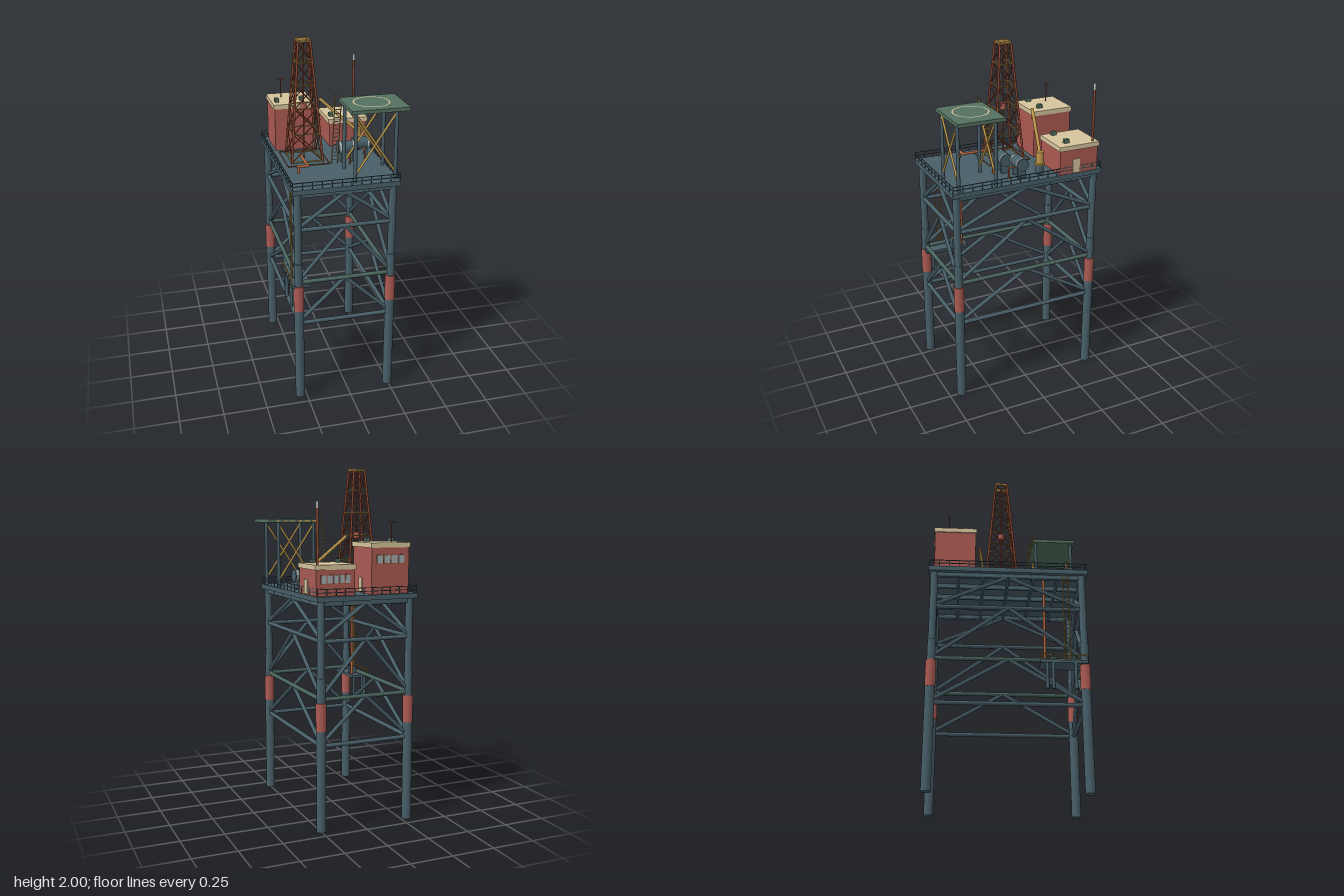
import * as THREE from 'three';

const mat = (name, color) => new THREE.MeshStandardMaterial({ name, color });

export function createModel() {
  const slate = mat('slate steel', 0x485f68), red = mat('faded red', 0xab5a52), tan = mat('tan', 0xd6c59d);
  const green = mat('deck green', 0x547160), rust = mat('rust orange', 0xb8653d), ochre = mat('ochre', 0xc09a4c);
  const brown = mat('derrick brown', 0x954d35), glass = mat('window grey', 0xa0abae), pale = mat('pale grey', 0xbcc2c3);
  const weathered = mat('weathered steel', 0x4a645d);
  const root = new THREE.Group();
  const V = (x, y, z) => new THREE.Vector3(x, y, z);
  const group = (name, parent = root) => {
    const g = new THREE.Group();
    g.name = name;
    parent.add(g);
    return g;
  };
  const add = (name, geo, m, x, y, z, parent = root) => {
    const o = new THREE.Mesh(geo, m);
    o.name = name;
    o.position.set(x, y, z);
    parent.add(o);
    return o;
  };
  const box = (name, m, x, y, z, w, h, d, p) => add(name, new THREE.BoxGeometry(w, h, d), m, x, y, z, p);
  // upright cylinder between two heights
  const post = (name, m, x, z, y0, y1, r, p, n = 16) =>
    add(name, new THREE.CylinderGeometry(r, r, y1 - y0, n), m, x, (y0 + y1) / 2, z, p);
  // round bar between two points
  const bar = (name, m, a, b, r, p, n = 8) => {
    const c = a.clone().add(b).multiplyScalar(0.5);
    const o = add(name, new THREE.CylinderGeometry(r, r, a.distanceTo(b), n), m, c.x, c.y, c.z, p);
    o.quaternion.setFromUnitVectors(V(0, 1, 0), b.clone().sub(a).normalize());
    return o;
  };
  const pipe = (name, m, pts, r, p) => {
    pts.slice(1).forEach((b, i) => bar(name, m, pts[i], b, r, p, 12));
    pts.slice(1, -1).forEach(c => add(name + 'Elbow', new THREE.SphereGeometry(r * 1.15, 12, 8), m, c.x, c.y, c.z, p));
  };

  // legs with red sleeves
  const CX = -0.02, LX = 0.267, LZ = 0.425;
  const corners = [[-1, -1], [1, -1], [1, 1], [-1, 1]].map(([i, j]) => [CX + i * LX, j * LZ]);
  const legs = group('legs');
  for (const [x, z] of corners) {
    post('lowerLeg', slate, x, z, 0, 0.58, 0.027, legs, 20);
    post('legSleeve', red, x, z, 0.575, 0.73, 0.029, legs, 20);
    post('middleLeg', slate, x, z, 0.73, 0.855, 0.0235, legs, 20);
    post('legCollar', slate, x, z, 0.855, 0.867, 0.025, legs, 20);
    post('upperLeg', slate, x, z, 0.867, 1.29, 0.021, legs, 20);
  }

  // jacket bracing: girts and inverted V diagonals on every side
  const bracing = group('bracing');
  const levels = [0.488, 0.748, 1.066, 1.265];
  corners.forEach(([x0, z0], k) => {
    const [x1, z1] = corners[(k + 1) % 4];
    levels.forEach((y, i) => {
      bar('girt', i === 1 ? weathered : slate, V(x0, y, z0), V(x1, y, z1), 0.012, bracing, 12);
      if (i === 3) return;
      const top = V((x0 + x1) / 2, levels[i + 1], (z0 + z1) / 2);
      bar('diagonal', slate, V(x0, y + 0.01, z0), top, 0.011, bracing, 12);
      bar('diagonal', slate, V(x1, y + 0.01, z1), top, 0.011, bracing, 12);
    });
  });

  // main deck and the beams under it
  const deck = group('deck');
  box('deckPlate', slate, CX, 1.296, 0, 0.602, 0.028, 0.917, deck);
  for (let i = 0; i < 5; i++) box('longBeam', slate, CX - 0.27 + i * 0.135, 1.27, 0, 0.014, 0.03, 0.88, deck);
  for (let i = 0; i < 7; i++) box('crossBeam', slate, CX, 1.27, -0.43 + i * 0.1433, 0.56, 0.026, 0.014, deck);

  // railing round the deck edge
  const rails = group('railing');
  const RX = 0.297, RZ = 0.454;
  for (const s of [-1, 1]) {
    for (const y of [1.331, 1.35]) {
      box('sideRail', slate, CX + s * RX, y, 0, 0.004, 0.004, 2 * RZ, rails);
      box('endRail', slate, CX, y, s * RZ, 2 * RX, 0.004, 0.004, rails);
    }
    for (let i = 0; i <= 16; i++) box('railPost', slate, CX + s * RX, 1.33, -RZ + i * RZ / 8, 0.004, 0.042, 0.004, rails);
    for (let i = 1; i < 11; i++) box('railPost', slate, CX - RX + i * RX / 5.5, 1.33, s * RZ, 0.004, 0.042, 0.004, rails);
  }

  // derrick: tapered lattice with crown and travelling block
  const derrick = group('derrick');
  derrick.position.set(-0.143, 0, -0.035);
  const ys = [1.315, 1.475, 1.62, 1.75, 1.875, 1.99];
  const half = y => 0.09 - (y - 1.31) / 0.69 * 0.056;
  const at = (k, y) => V([-1, 1, 1, -1][k % 4] * half(y), y, [-1, -1, 1, 1][k % 4] * half(y));
  for (let k = 0; k < 4; k++) {
    bar('derrickLeg', brown, at(k, 1.31), at(k, 1.99), 0.0065, derrick);
    ys.forEach((y, i) => {
      bar('derrickGirt', ochre, at(k, y), at(k + 1, y), 0.0038, derrick, 6);
      if (i === 5) return;
      bar('derrickBrace', brown, at(k, y), at(k + 1, ys[i + 1]), 0.0032, derrick, 6);
      bar('derrickBrace', brown, at(k + 1, y), at(k, ys[i + 1]), 0.0032, derrick, 6);
    });
  }
  for (const s of [-1, 1]) {
    box('crownBeam', ochre, s * 0.032, 1.993, 0, 0.009, 0.014, 0.073, derrick);
    box('crownBeam', ochre, 0, 1.993, s * 0.032, 0.073, 0.014, 0.009, derrick);
    box('coaming', brown, -0.002 + s * 0.12, 1.312, 0.01, 0.003, 0.006, 0.26, derrick);
    box('coaming', brown, -0.002, 1.312, 0.01 + s * 0.13, 0.24, 0.006, 0.003, derrick);
  }
  post('travellingBlock', red, 0, 0, 1.605, 1.64, 0.018, derrick);
  post('drillString', brown, 0, 0, 1.31, 1.98, 0.004, derrick, 8);

  // cabins with roofs, roof units, doors and rear windows
  const cabin = (name, x, top, units, panes, winY) => {
    const g = group(name);
    g.position.set(x, 0, -0.31);
    box('walls', red, 0, (1.31 + top - 0.025) / 2, 0, 0.228, top - 0.025 - 1.31, 0.238, g);
    box('roof', tan, 0, top - 0.0135, 0, 0.241, 0.027, 0.251, g);
    for (const u of units) box('roofUnit', green, u, top + 0.011, 0.056, 0.022, 0.022, 0.03, g);
    box('door', tan, 0.115, 1.355, 0.018, 0.008, 0.08, 0.044, g);
    const step = 0.175 / panes;
    for (let i = 0; i < panes; i++) {
      const px = (i - (panes - 1) / 2) * step;
      box('windowFrame', brown, px, winY, -0.12, step - 0.003, 0.05, 0.006, g);
      box('window', glass, px, winY, -0.1215, step - 0.008, 0.043, 0.008, g);
    }
  };
  cabin('tallCabin', -0.165, 1.59, [-0.09, 0.058], 4, 1.5);
  cabin('lowCabin', 0.163, 1.478, [-0.09, 0.06], 5, 1.4);
  const masts = group('masts');
  post('aerialMast', brown, -0.21, -0.35, 1.59, 1.705, 0.003, masts, 8);
  box('aerialBar', brown, -0.21, 1.7, -0.35, 0.05, 0.005, 0.005, masts);
  post('beaconMast', brown, 0.258, -0.405, 1.478, 1.775, 0.0065, masts, 10);
  post('beacon', pale, 0.258, -0.405, 1.775, 1.81, 0.008, masts, 12);

  // crane
  const crane = group('crane');
  post('pedestal', slate, 0.197, -0.103, 1.31, 1.37, 0.022, crane);
  post('slewRing', ochre, 0.197, -0.103, 1.365, 1.375, 0.03, crane);
  post('craneHouse', ochre, 0.197, -0.103, 1.375, 1.44, 0.022, crane);
  const tip = V(-0.02, 1.62, -0.162);
  bar('boom', ochre, V(0.195, 1.425, -0.105), tip, 0.0095, crane);
  bar('hoistLine', brown, tip, V(-0.02, 1.56, -0.162), 0.002, crane, 6);

  // horizontal tanks with bands, saddles and outlet pipes
  for (const [x, z] of [[0.079, 0.07], [0.182, 0.018]]) {
    const g = group('tank');
    g.position.set(x, 1.39, z);
    add('tankShell', new THREE.CylinderGeometry(0.036, 0.036, 0.1, 24), slate, 0, 0, 0, g).rotation.z = Math.PI / 2;
    for (const s of [-1, 1]) {
      add('tankBand', new THREE.CylinderGeometry(0.0375, 0.0375, 0.008, 24), pale, s * 0.038, 0, 0, g).rotation.z = Math.PI / 2;
      box('saddle', slate, s * 0.03, -0.054, 0, 0.012, 0.052, 0.05, g);
    }
    pipe('outlet', rust, [V(0.006, -0.02, 0.03), V(0.006, -0.02, 0.065), V(0.006, -0.08, 0.065)], 0.005, g);
  }

  // helideck on four columns with crossed braces
  const heli = group('helideck');
  box('helideckPlate', green, 0.1675, 1.703, 0.3015, 0.321, 0.02, 0.273, heli);
  const ring = add('landingCircle', new THREE.RingGeometry(0.093, 0.101, 64), tan, 0.155, 1.7145, 0.295, heli);
  ring.rotation.x = -Math.PI / 2;
  for (const z of [0.195, 0.415]) {
    for (const x of [0.035, 0.26]) post('column', slate, x, z, 1.31, 1.695, 0.01, heli);
    bar('crossBrace', ochre, V(0.035, 1.35, z), V(0.26, 1.685, z), 0.0065, heli);
    bar('crossBrace', ochre, V(0.26, 1.35, z), V(0.035, 1.685, z), 0.0065, heli);
  }
  for (let i = 0; i < 6; i++) box('edgeStrip', ochre, 0.045 + i * 0.046, 1.702, 0.163, 0.03, 0.008, 0.005, heli);

  // ladders: two stringers and rungs from foot to head
  const ladder = (name, sideMat, rungMat, foot, head, side, n) => {
    const g = group(name);
    for (const s of [-1, 1]) {
      const off = side.clone().multiplyScalar(s);
      bar('stringer', sideMat, foot.clone().add(off), head.clone().add(off), 0.003, g, 6);
    }
    for (let i = 1; i < n; i++) {
      const c = foot.clone().lerp(head, i / n);
      bar('rung', rungMat, c.clone().sub(side), c.clone().add(side), 0.0025, g, 6);
    }
  };
  ladder('helideckLadder', ochre, pale, V(0.004, 1.31, 0.1), V(0.004, 1.74, 0.182), V(0.018, 0, 0), 18);
  ladder('landingLadder', ochre, ochre, V(-0.305, 0.735, 0.33), V(-0.305, 1.314, 0.33), V(0, 0, 0.016), 20);

  // flow pipe from the derrick down to the landing
  pipe('flowPipe', rust, [V(-0.177, 1.35, 0.03), V(-0.177, 1.35, 0.21), V(-0.23, 1.35, 0.21), V(-0.23, 0.74, 0.21)], 0.0075);

  // boat landing beside the front right leg
  const landing = group('boatLanding');
  box('landingFloor', slate, -0.274, 0.728, 0.307, 0.108, 0.016, 0.264, landing);
  box('landingRail', ochre, -0.326, 0.768, 0.307, 0.005, 0.005, 0.264, landing);
  for (let i = 0; i < 6; i++) box('landingPost', ochre, -0.326, 0.752, 0.178 + i * 0.0516, 0.004, 0.034, 0.004, landing);
  for (const z of [0.37, 0.245, 0.212]) post('fender', slate, -0.318, z, 0.57, 0.722, 0.009, landing, 12);
  box('landingLocker', slate, -0.25, 0.758, 0.253, 0.04, 0.045, 0.035, landing);
  return root;
}
